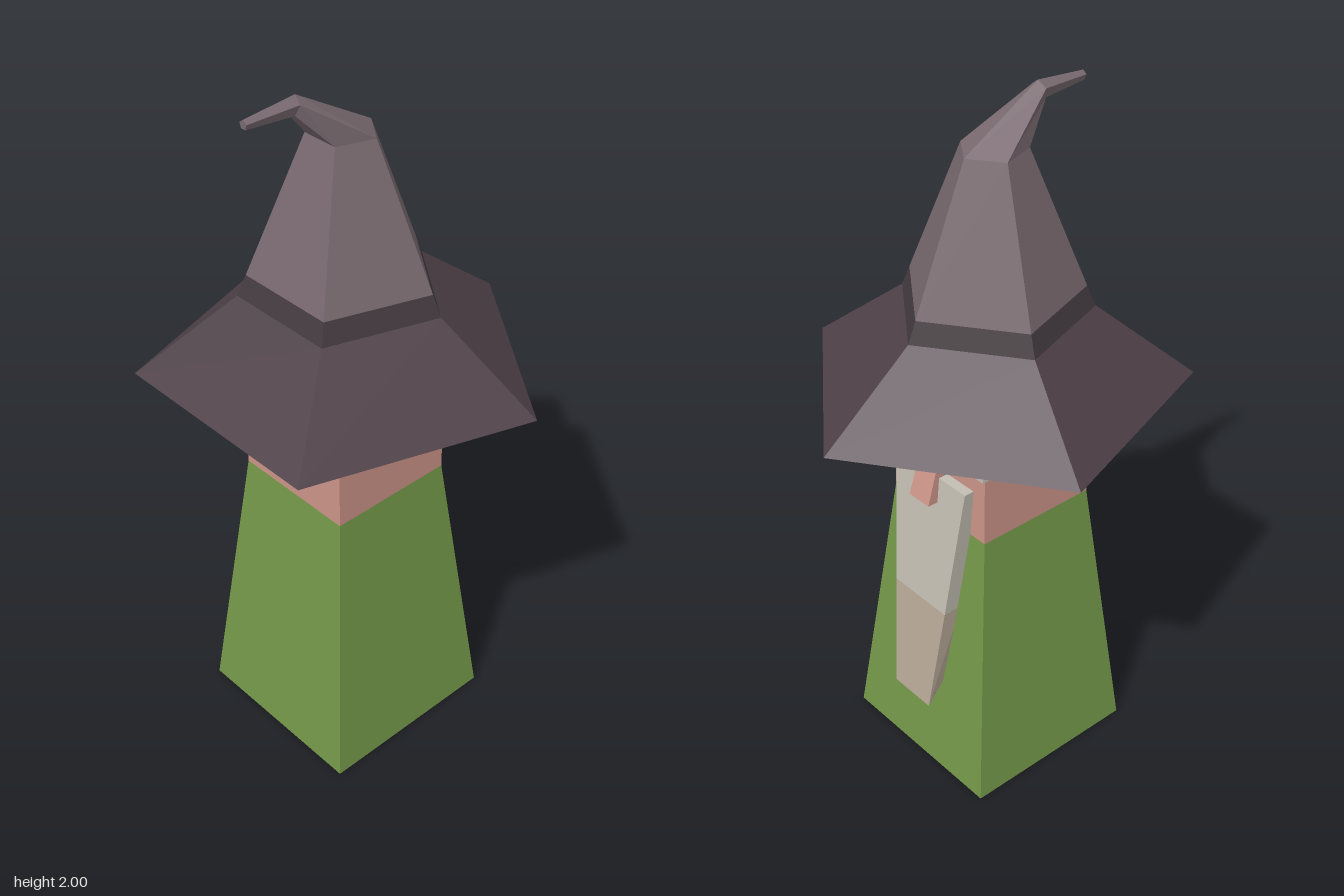
import * as THREE from 'three';

const mat = (name, color) => {
  const m = new THREE.MeshStandardMaterial({ color });
  m.name = name;
  return m;
};

// Level or tilted regular ring; the first corner points to -z, or up when tilted 90 degrees
function ring(sides, radius, y, z, tilt = 0) {
  const a = THREE.MathUtils.degToRad(tilt);
  return Array.from({ length: sides }, (_, i) => {
    const t = (i / sides) * Math.PI * 2;
    const c = radius * Math.cos(t);
    return new THREE.Vector3(radius * Math.sin(t), y + c * Math.sin(a), z - c * Math.cos(a));
  });
}

// Four-cornered ring; the two z edges may sit at different heights
function rect(halfX, zNear, zFar, yNear, yFar = yNear) {
  return [
    new THREE.Vector3(-halfX, yNear, zNear),
    new THREE.Vector3(halfX, yNear, zNear),
    new THREE.Vector3(halfX, yFar, zFar),
    new THREE.Vector3(-halfX, yFar, zFar),
  ];
}

// Flat-faced skin over rings listed from bottom to top
function loft(rings, capBottom = true, capTop = true) {
  const pts = [];
  const n = rings[0].length;
  for (let r = 0; r < rings.length - 1; r++) {
    for (let i = 0; i < n; i++) {
      const j = (i + 1) % n;
      const [a, b, c, d] = [rings[r][i], rings[r][j], rings[r + 1][j], rings[r + 1][i]];
      pts.push(a, d, b, b, d, c);
    }
  }
  const first = rings[0], last = rings[rings.length - 1];
  for (let i = 1; i < n - 1; i++) {
    if (capBottom) pts.push(first[0], first[i], first[i + 1]);
    if (capTop) pts.push(last[0], last[i + 1], last[i]);
  }
  const g = new THREE.BufferGeometry().setFromPoints(pts);
  g.computeVertexNormals();
  return g;
}

export function createModel() {
  const model = new THREE.Group();
  model.name = 'hattedFigure';

  const green = mat('robeGreen', 0x739749);
  const skin = mat('skin', 0xcc9488);
  const cone = mat('hatMauve', 0x78696f);
  const brim = mat('hatBrimPlum', 0x4e4148);
  const band = mat('hatBandDark', 0x433a3f);
  const grey = mat('beardGrey', 0xc3beb2);
  const tan = mat('beardTan', 0xb9aa98);
  const eyeWhite = mat('eyeGrey', 0xc4c2b6);
  const dark = mat('pupilDark', 0x3a3338);

  const add = (name, geometry, material) => {
    const m = new THREE.Mesh(geometry, material);
    m.name = name;
    model.add(m);
    return m;
  };

  // Robe and head
  const neck = rect(0.19, -0.135, 0.245, 0.84);
  add('robe', loft([rect(0.28, -0.225, 0.335, 0), neck], true, false), green);
  add('head', loft([neck, rect(0.19, -0.135, 0.245, 1.25)], false), skin);

  // Five-sided hat with a bent tip
  const fold = ring(5, 0.277, 1.41, 0.05);
  const bandTop = ring(5, 0.252, 1.47, 0.05);
  add('hatBrim', loft([ring(5, 0.555, 1.19, 0.05), fold], true, false), brim);
  add('hatBand', loft([fold, bandTop], false, false), band);
  add('hatCone', loft([
    bandTop,
    ring(5, 0.0925, 1.86, 0.0525),
    ring(5, 0.026, 1.975, 0.208, 72),
    ring(5, 0.013, 1.974, 0.355, 90),
  ], false), cone);

  // Tapered beard in two colours
  const beardSplit = rect(0.108, -0.2095, -0.15, 0.58);
  add('beardUpper', loft([beardSplit, rect(0.145, -0.165, -0.125, 0.99)], false), grey);
  add('beardLower', loft([rect(0.075, -0.247, -0.18, 0.235, 0.313), beardSplit], true, false), tan);

  // Wedge nose
  add('nose', loft([rect(0.04, -0.205, -0.13, 0.915), rect(0.036, -0.137, -0.125, 1.14)]), skin);

  // Uneven boxy eyes with cube pupils
  const eyes = [
    { side: 'left', x: 0.148, y: 1.14, z: -0.095, size: 0.13, px: 0.145 },
    { side: 'right', x: -0.17, y: 1.15, z: -0.115, size: 0.13, px: -0.163 },
  ];
  for (const e of eyes) {
    add(e.side + 'Eye', new THREE.BoxGeometry(e.size, e.size, e.size), eyeWhite)
      .position.set(e.x, e.y, e.z);
    add(e.side + 'Pupil', new THREE.BoxGeometry(0.04, 0.04, 0.04), dark)
      .position.set(e.px, 1.14, -0.175);
  }

  return model;
}
